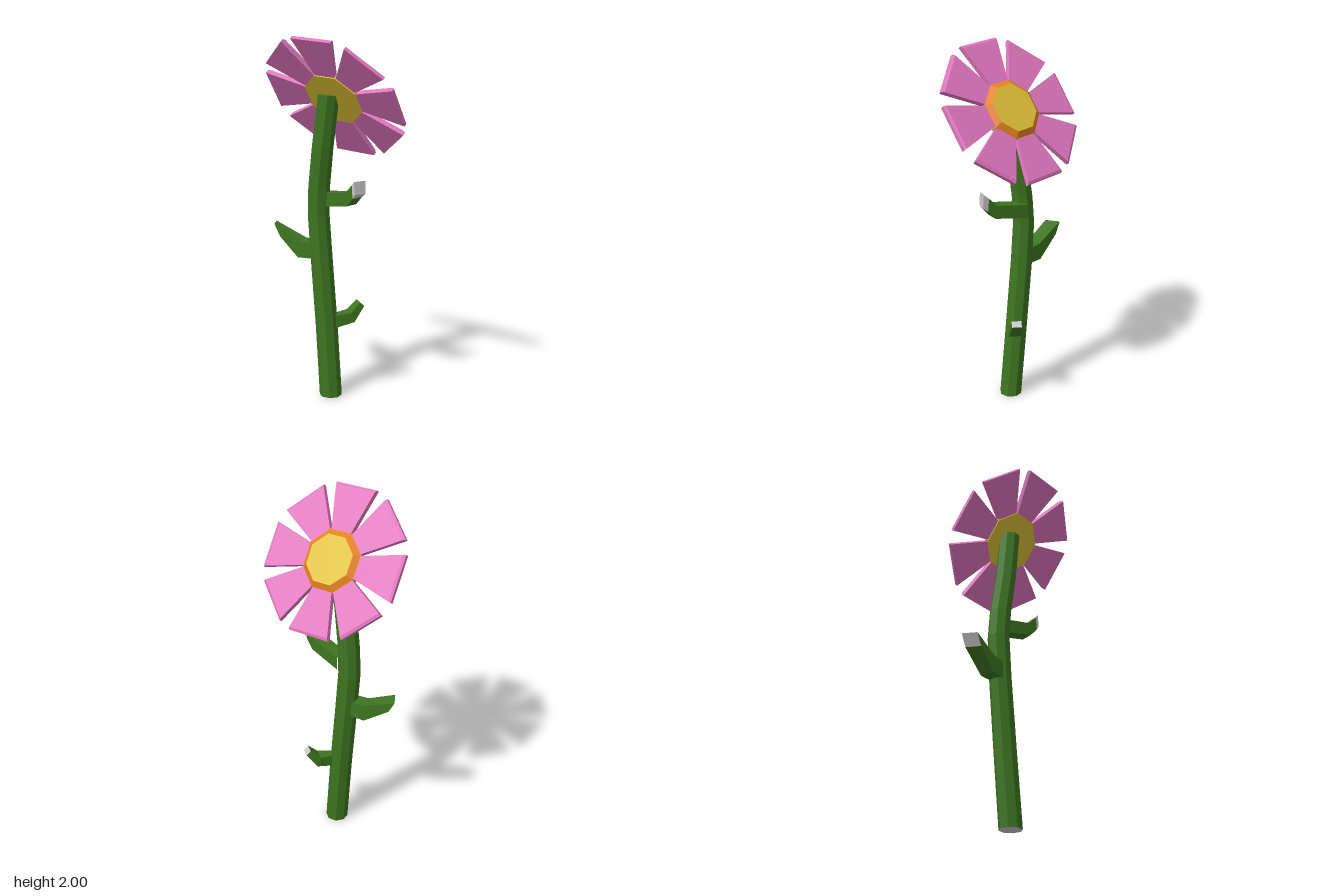
import * as THREE from 'three';

const mat = (name, color) => {
  const m = new THREE.MeshStandardMaterial({ color, flatShading: true });
  m.name = name;
  return m;
};

export function createModel() {
  const green = mat('stem green', 0x3d7520);
  const pink = mat('petal pink', 0xe076bd);
  const yellow = mat('centre yellow', 0xdfc237);
  const orange = mat('rim orange', 0xe88322);
  const pale = mat('cut end pale grey', 0xc8c8c8);

  const model = new THREE.Group();
  model.name = 'flower';
  const add = (parent, name, geometry, material) => {
    const mesh = new THREE.Mesh(geometry, material);
    mesh.name = name;
    parent.add(mesh);
    return mesh;
  };

  // Stem: eight-sided tube whose rows follow a gently bent path (top to bottom)
  const path = [
    [-0.02, 1.685, 0.026], [-0.055, 1.4, 0.04], [-0.087, 1.18, 0.039], [-0.096, 1.03, 0.036],
    [-0.08, 0.8, 0.03], [-0.044, 0.4, 0.023], [-0.01, 0, 0.022],
  ];
  const stem = new THREE.CylinderGeometry(0.057, 0.062, 1, 8, path.length - 1);
  const pos = stem.attributes.position;
  for (let i = 0; i < pos.count; i++) {
    const row = Math.round((0.5 - pos.getY(i)) * (path.length - 1));
    const [x, y, z] = path[row];
    pos.setXYZ(i, pos.getX(i) + x, y, pos.getZ(i) + z);
  }
  stem.computeVertexNormals();
  add(model, 'stem', stem, [green, green, pale]);

  // Leaf: bent bar along a heading; each station is [dBottom, yBottom, dTop, yTop, halfWidth].
  // The end face and the last paleRows segments are pale; skew slants the end face.
  function leaf(name, root, heading, stations, skew, paleRows) {
    const f = [Math.cos(heading), Math.sin(heading)];
    const rows = stations.length - 1;
    const verts = [], index = [];
    stations.forEach(([db, yb, dt, yt, w], k) => {
      const cut = k === rows ? skew : 0;
      for (const [d, y, side] of [[db, yb, -1], [dt, yt, -1], [dt, yt, 1], [db, yb, 1]]) {
        const along = d - side * cut;
        verts.push(root[0] + f[0] * along - f[1] * side * w, y, root[1] + f[1] * along + f[0] * side * w);
      }
    });
    for (let k = 0; k < rows; k++) {
      for (let j = 0; j < 4; j++) {
        const a = k * 4 + j, b = k * 4 + (j + 1) % 4;
        index.push(a, b, b + 4, a, b + 4, a + 4);
      }
    }
    const e = rows * 4;
    index.push(e, e + 1, e + 2, e, e + 2, e + 3);
    const greenCount = (rows - paleRows) * 24;
    const g = new THREE.BufferGeometry();
    g.setAttribute('position', new THREE.Float32BufferAttribute(verts, 3));
    g.setIndex(index);
    g.addGroup(0, greenCount, 0);
    g.addGroup(greenCount, index.length - greenCount, 1);
    g.computeVertexNormals();
    add(model, name, g, [green, pale]);
  }
  leaf('upperLeaf', [-0.08, 0.0], -0.07, [
    [0, 1.075, 0, 1.15, 0.036], [0.2, 1.11, 0.19, 1.18, 0.036],
    [0.244, 1.157, 0.238, 1.23, 0.034], [0.266, 1.18, 0.262, 1.25, 0.033],
  ], 0.008, 1);
  leaf('middleLeaf', [-0.083, 0.035], Math.PI - 0.41, [
    [0, 0.785, 0, 0.87, 0.038], [0.12, 0.78, 0.11, 0.875, 0.04], [0.248, 0.885, 0.282, 0.95, 0.038],
  ], -0.016, 0);
  leaf('lowerLeaf', [-0.01, -0.005], -Math.PI / 2 + 0.35, [
    [0, 0.395, 0, 0.465, 0.025], [0.105, 0.42, 0.085, 0.475, 0.036], [0.165, 0.505, 0.14, 0.53, 0.027],
  ], 0, 0);

  // Flower head: tilted group, its local +z is the open face
  const head = new THREE.Group();
  head.name = 'flowerHead';
  head.position.set(0, 1.671, 0);
  head.lookAt(-0.2, 1.671 + 0.59, -0.785);
  model.add(head);
  const turn = THREE.MathUtils.degToRad(3.5);

  // Octagonal centre: yellow base, then a bevelled orange rim around a yellow face
  const octagon = (top, bottom, z0, z1) =>
    new THREE.CylinderGeometry(top, bottom, z1 - z0, 8)
      .rotateX(Math.PI / 2).rotateZ(turn + Math.PI / 8).translate(0, 0, (z0 + z1) / 2);
  add(head, 'centreBase', octagon(0.17, 0.17, -0.02, 0.012), yellow);
  add(head, 'centreFace', octagon(0.135, 0.17, 0.012, 0.038), [orange, yellow, yellow]);

  // Petal: side profile with a chamfered tip, extruded across and widened outwards
  const profile = new THREE.Shape([
    [0.145, -0.014], [0.395, -0.014], [0.395, 0.006], [0.381, 0.014], [0.145, 0.014],
  ].map(([r, z]) => new THREE.Vector2(r, z)));
  const petal = new THREE.ExtrudeGeometry(profile, { depth: 2, bevelEnabled: false });
  const pp = petal.attributes.position;
  for (let i = 0; i < pp.count; i++) {
    const r = pp.getX(i);
    const half = THREE.MathUtils.mapLinear(r, 0.145, 0.395, 0.057, 0.122);
    pp.setXYZ(i, (pp.getZ(i) - 1) * half, r, pp.getY(i));
  }
  petal.computeVertexNormals();
  for (let i = 0; i < 8; i++) {
    add(head, 'petal' + (i + 1), petal, pink).rotation.z = turn + (i * Math.PI) / 4;
  }
  return model;
}
